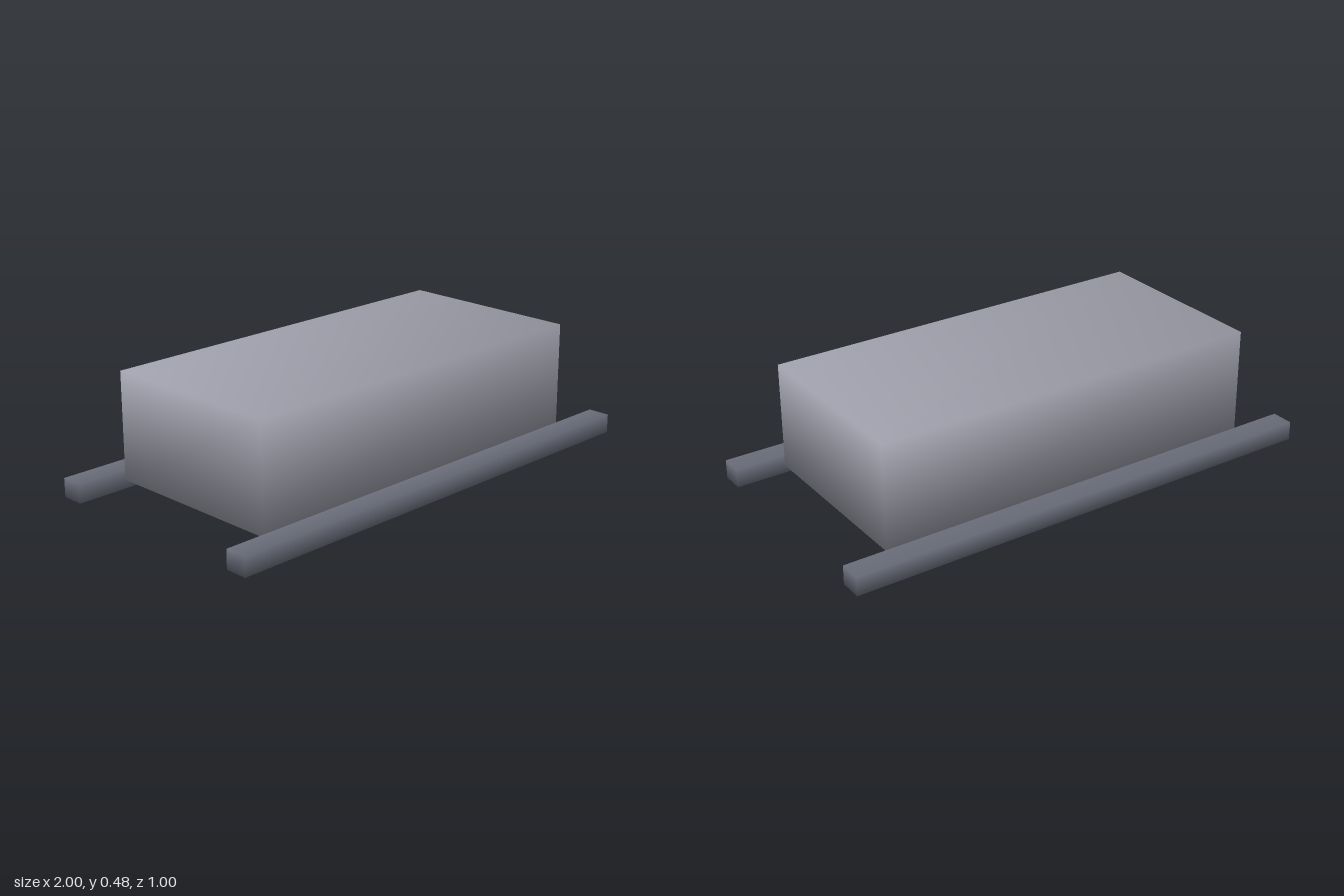
import * as THREE from 'three';

// Box whose corner normals are shared by its faces, weighted by face area
function softBox(width, height, depth) {
  const geometry = new THREE.BoxGeometry(width, height, depth);
  const { position, normal } = geometry.attributes;
  const n = new THREE.Vector3();
  for (let i = 0; i < position.count; i++) {
    n.set(
      Math.sign(position.getX(i)) / width,
      Math.sign(position.getY(i)) / height,
      Math.sign(position.getZ(i)) / depth
    ).normalize();
    normal.setXYZ(i, n.x, n.y, n.z);
  }
  return geometry;
}

export function createModel() {
  const model = new THREE.Group();

  // Main block, raised slightly off the ground
  const blockMaterial = new THREE.MeshStandardMaterial({ color: 0xa2a3af });
  const block = new THREE.Mesh(softBox(1.62, 0.428, 0.763), blockMaterial);
  block.name = 'block';
  block.position.y = 0.263;
  model.add(block);

  // Long darker rails in front of and behind the block
  const railMaterial = new THREE.MeshStandardMaterial({ color: 0x707481 });
  const railGeometry = softBox(2, 0.076, 0.092);
  for (const [name, side] of [['frontRail', 1], ['backRail', -1]]) {
    const rail = new THREE.Mesh(railGeometry, railMaterial);
    rail.name = name;
    rail.position.set(0, 0.038, side * 0.456);
    model.add(rail);
  }
  return model;
}
